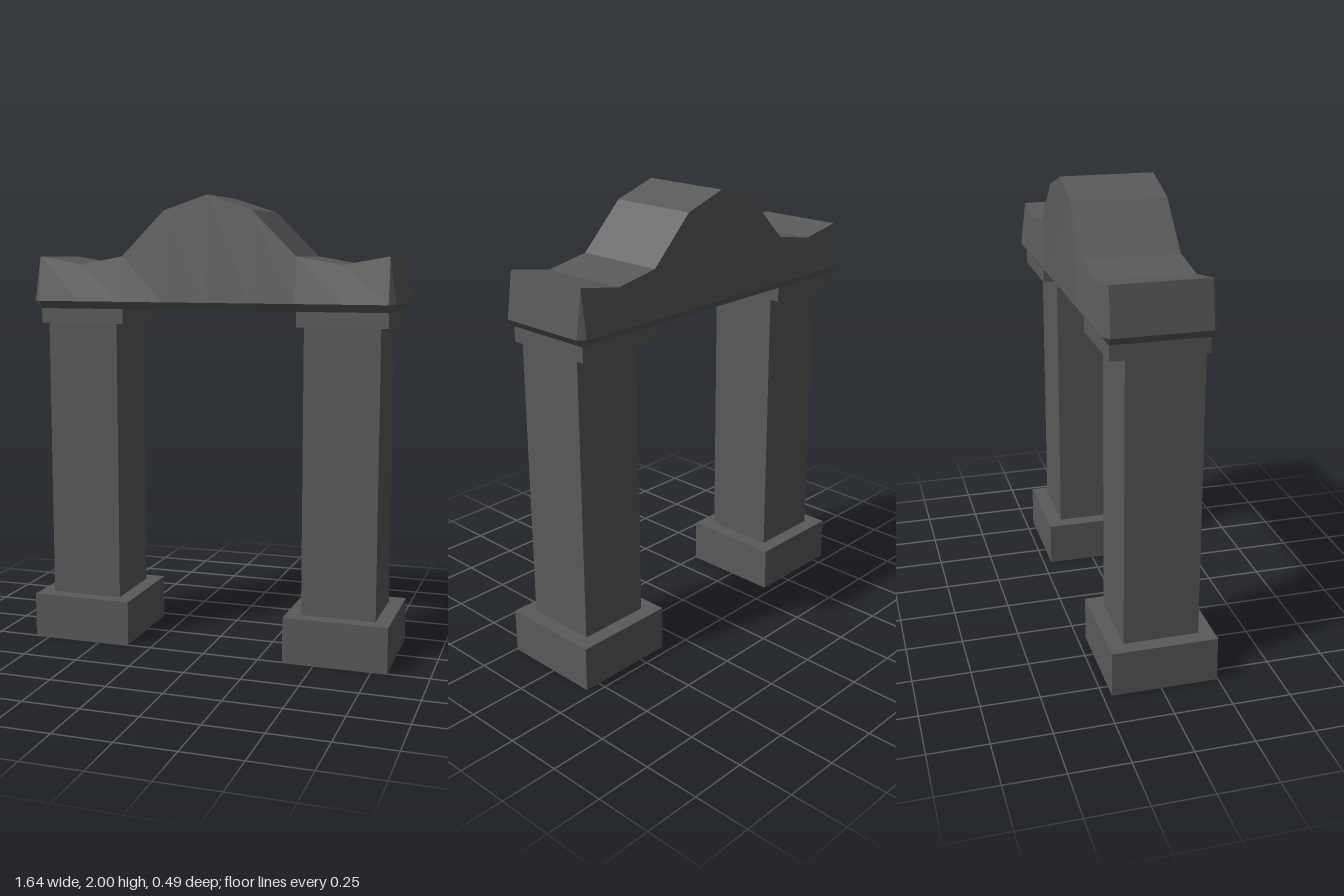
import * as THREE from 'three';

const stone = new THREE.MeshStandardMaterial({ color: 0x5a5a5a });
stone.name = 'darkStone';

// Box given by its x, y and z extents
function block(name, [x0, x1], [y0, y1], [z0, z1]) {
  const mesh = new THREE.Mesh(new THREE.BoxGeometry(x1 - x0, y1 - y0, z1 - z0), stone);
  mesh.position.set((x0 + x1) / 2, (y0 + y1) / 2, (z0 + z1) / 2);
  mesh.name = name;
  return mesh;
}

// Faceted loft through closed loops of equal length, skipping collapsed triangles
function loft(loops) {
  const positions = [];
  const tri = (a, b, c) => {
    if (new THREE.Triangle(a, b, c).getArea() < 1e-7) return;
    for (const p of [a, b, c]) positions.push(p.x, p.y, p.z);
  };
  for (let i = 0; i < loops.length - 1; i++) {
    const n = loops[i].length;
    for (let j = 0; j < n; j++) {
      const k = (j + 1) % n;
      const a = loops[i][j], b = loops[i][k], c = loops[i + 1][k], d = loops[i + 1][j];
      tri(a, b, c);
      tri(a, c, d);
    }
  }
  const geometry = new THREE.BufferGeometry();
  geometry.setAttribute('position', new THREE.Float32BufferAttribute(positions, 3));
  geometry.computeVertexNormals();
  return geometry;
}

// Curved lintel: six-point sections along x, with a projecting lower rim
function lintelGeometry() {
  const front = 0.187, back = -0.218, rim = 0.025;
  const bottomY = 1.51, rimY = 1.543, endX = 0.815;
  const half = [[0, 2], [0.197, 1.935], [0.393, 1.74], [0.59, 1.705], [0.787, 1.74]];
  const crest = [...half.slice(1).reverse().map(([x, y]) => [-x, y]), ...half];

  const section = ([x, topY]) => [
    [topY, front], [rimY, front + rim], [bottomY, front],
    [bottomY, back], [rimY, back - rim], [topY, back],
  ].map(([y, z]) => new THREE.Vector3(x, y, z));

  // End sections collapse to a horizontal edge at rim height
  const end = (x) => [front, front, front, back, back, back]
    .map((z) => new THREE.Vector3(x, rimY, z));

  return loft([end(-endX), ...crest.map(section), end(endX)]);
}

export function createModel() {
  const model = new THREE.Group();
  model.name = 'archway';

  // Two pillars, mirrored about x = 0
  for (const [side, s] of [['left', 1], ['right', -1]]) {
    const span = (a, b) => (s > 0 ? [a, b] : [-b, -a]);
    const pillar = new THREE.Group();
    pillar.name = `${side}Pillar`;
    pillar.add(
      block('base', span(0.36, 0.818), [0, 0.198], [-0.213, 0.245]),
      block('shaft', span(0.426, 0.753), [0.198, 1.445], [-0.146, 0.179]),
      block('capital', span(0.393, 0.785), [1.445, 1.512], [-0.216, 0.186]),
    );
    model.add(pillar);
  }

  const lintel = new THREE.Mesh(lintelGeometry(), stone);
  lintel.name = 'lintel';
  model.add(lintel);
  return model;
}
